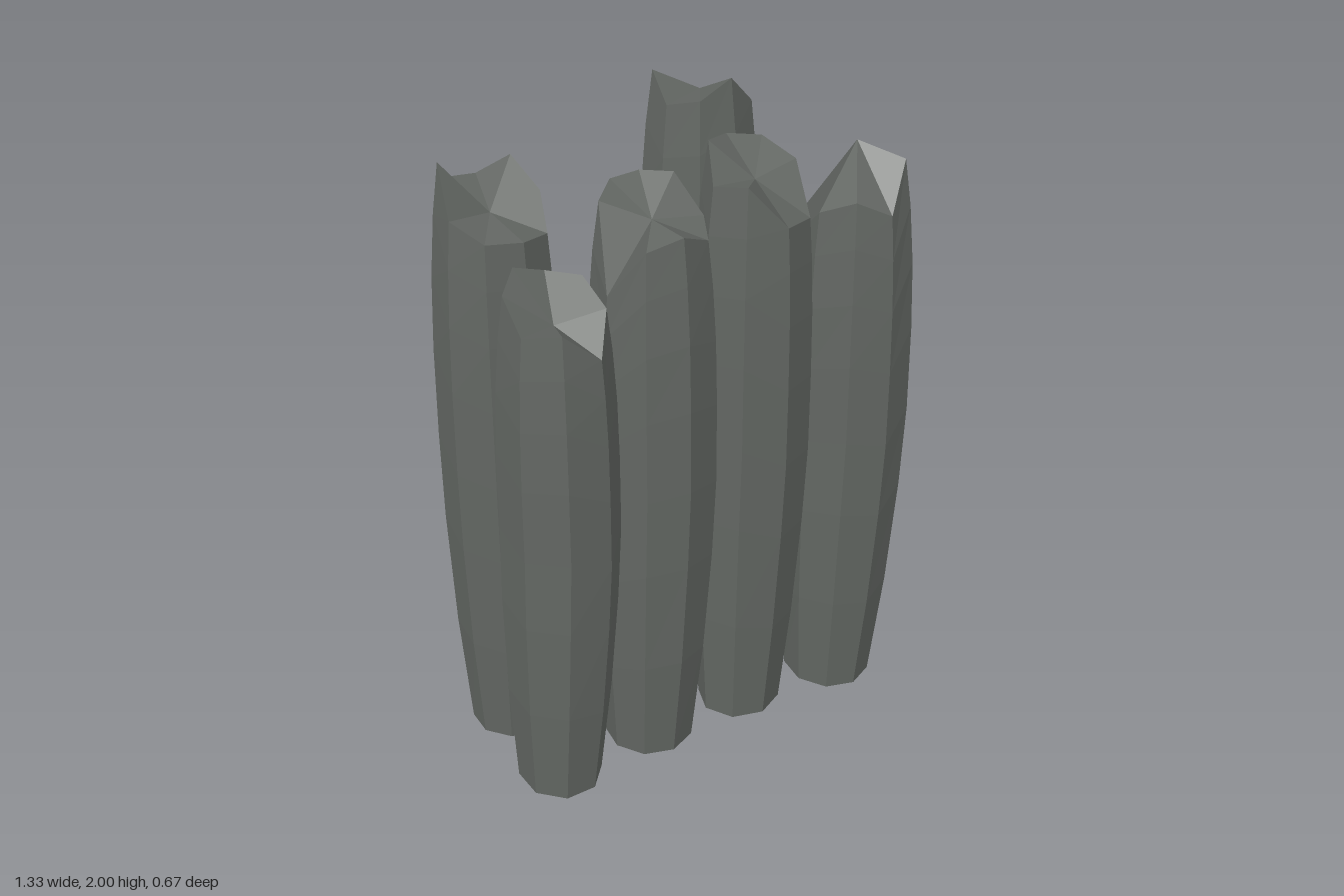
import * as THREE from 'three';

// Columns: centre, radii, shift of the foot along x, angle of the first corner (0 = +x, PI/2 = +z),
// height of the middle of the broken top, and rim heights corner by corner
const COLUMNS = [
  { name: 'backRightColumn', x: -0.49, z: -0.17, rx: 0.178, rz: 0.172, foot: 0, turn: 4.94, middle: 1.73,
    rim: [1.78, 1.84, 1.76, 1.68, 1.7, 1.71, 1.76, 1.89, 1.8] },
  { name: 'shortBackColumn', x: -0.16, z: -0.165, rx: 0.168, rz: 0.152, foot: 0.01, turn: 4.92, middle: 1.31,
    rim: [1.2, 1.28, 1.33, 1.34, 1.34, 1.33, 1.3, 1.24] },
  { name: 'tallBackColumn', x: 0.18, z: -0.17, rx: 0.182, rz: 0.165, foot: -0.02, turn: 0, middle: 1.93,
    rim: [1.87, 1.9, 2, 1.95, 1.93, 2, 1.9, 1.74, 1.79] },
  { name: 'frontRightColumn', x: -0.48, z: 0.145, rx: 0.168, rz: 0.182, foot: -0.03, turn: 3.53, middle: 1.53,
    rim: [1.63, 1.66, 1.62, 1.62, 1.57, 1.48, 1.58, 1.56] },
  { name: 'frontInnerRightColumn', x: -0.155, z: 0.115, rx: 0.183, rz: 0.187, foot: -0.025, turn: 3.63, middle: 1.74,
    rim: [1.8, 1.82, 1.82, 1.82, 1.72, 1.7, 1.75, 1.72, 1.57] },
  { name: 'frontInnerLeftColumn', x: 0.165, z: 0.13, rx: 0.175, rz: 0.165, foot: -0.025, turn: 3.84, middle: 1.78,
    rim: [1.89, 1.87, 1.85, 1.8, 1.67, 1.69, 1.82, 1.8] },
  { name: 'frontLeftColumn', x: 0.495, z: 0.145, rx: 0.178, rz: 0.193, foot: -0.03, turn: 3.61, middle: 1.82,
    rim: [1.52, 1.55, 1.53, 1.56, 1.68, 1.78, 1.65, 1.7, 1.65] },
];

// Heights of the cross-sections as fractions of each corner's rim height
const LEVELS = [0, 0.2, 0.4, 0.55, 0.7, 0.82, 0.92, 1];

// Outline scale at a fraction of the full height: widest just above the middle
function girth(u) {
  const d = u - 0.55;
  return d < 0 ? 1 - 0.27 * (d / 0.55) ** 2 : 1 - 0.25 * (d / 0.45) ** 3;
}

function columnGeometry({ rx, rz, foot, turn, middle, rim }) {
  const n = rim.length;
  const last = (LEVELS.length - 1) * n;
  const high = Math.max(...rim);
  const positions = [];
  const index = [];

  // Stacked rings, leaning from the foot to the widest level
  for (const t of LEVELS) {
    rim.forEach((top, i) => {
      const angle = turn + (i / n) * Math.PI * 2;
      const s = girth((top * t) / high);
      const lean = foot * Math.max(0, 1 - t / 0.55);
      positions.push(Math.cos(angle) * rx * s + lean, top * t, Math.sin(angle) * rz * s);
    });
  }
  const centre = positions.length / 3;
  positions.push(foot, 0, 0, 0, middle, 0);

  for (let i = 0; i < n; i++) {
    const j = (i + 1) % n;
    // Sides
    for (let ring = 0; ring < last; ring += n) {
      const a = ring + i, b = ring + j;
      index.push(a, a + n, b, b, a + n, b + n);
    }
    // Flat foot and broken top
    index.push(centre, i, j);
    index.push(centre + 1, last + j, last + i);
  }

  const geometry = new THREE.BufferGeometry();
  geometry.setAttribute('position', new THREE.Float32BufferAttribute(positions, 3));
  geometry.setIndex(index);
  const faceted = geometry.toNonIndexed();
  faceted.computeVertexNormals();
  return faceted;
}

export function createModel() {
  const model = new THREE.Group();
  model.name = 'rockColumns';
  const stone = new THREE.MeshStandardMaterial({ color: 0x626662, flatShading: true });
  stone.name = 'dark grey stone';

  for (const column of COLUMNS) {
    const mesh = new THREE.Mesh(columnGeometry(column), stone);
    mesh.name = column.name;
    mesh.position.set(column.x, 0, column.z);
    model.add(mesh);
  }
  return model;
}
